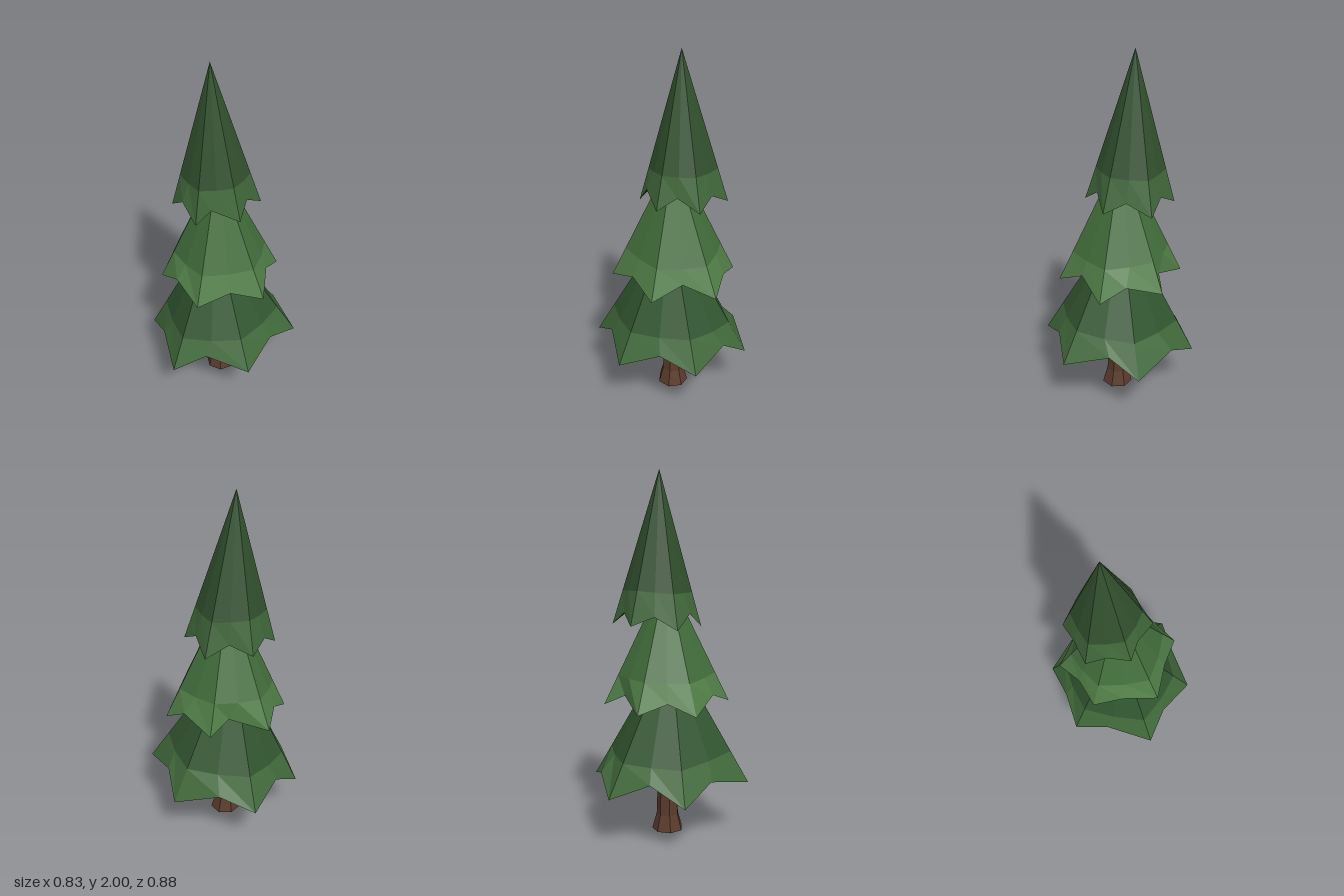
import * as THREE from 'three';

// Each tier is a notched six-sided cone: crown apex, underside centre height,
// and a rim of alternating branch tips and notches [x, y, z].
const TIERS = [
  {
    name: 'lowerTier', crown: 0x31552f, skirt: 0x40683a,
    apex: [-0.035, 1.07, 0], underY: 0.55,
    rim: [
      [0.10, 0.29, -0.44], [0.21, 0.40, -0.31], [0.415, 0.335, -0.16], [0.345, 0.41, 0.04],
      [0.315, 0.32, 0.27], [0.08, 0.40, 0.335], [-0.08, 0.305, 0.435], [-0.26, 0.36, 0.23],
      [-0.415, 0.26, 0.095], [-0.365, 0.37, -0.09], [-0.34, 0.28, -0.31], [-0.15, 0.37, -0.375],
    ],
  },
  {
    name: 'middleTier', crown: 0x426d3b, skirt: 0x4f7c46,
    apex: [-0.025, 1.46, -0.02], underY: 0.94,
    rim: [
      [-0.09, 0.74, -0.36], [0.10, 0.80, -0.30], [0.24, 0.72, -0.26], [0.25, 0.81, -0.08],
      [0.31, 0.73, 0.085], [0.16, 0.80, 0.195], [0.025, 0.745, 0.325], [-0.15, 0.81, 0.235],
      [-0.30, 0.72, 0.15], [-0.30, 0.79, 0], [-0.34, 0.735, -0.155], [-0.14, 0.80, -0.24],
    ],
  },
  {
    name: 'topTier', crown: 0x31502d, skirt: 0x40673a,
    apex: [-0.085, 2, -0.055], underY: 1.42,
    rim: [
      [-0.04, 1.18, -0.315], [0.06, 1.25, -0.225], [0.165, 1.19, -0.165], [0.135, 1.265, -0.045],
      [0.15, 1.195, 0.065], [0.01, 1.26, 0.125], [-0.06, 1.17, 0.17], [-0.17, 1.25, 0.11],
      [-0.27, 1.17, 0.05], [-0.26, 1.24, -0.07], [-0.255, 1.19, -0.195], [-0.14, 1.25, -0.24],
    ],
  },
];
const UNDERSIDE = 0x223a22;
const FOLD = 0.775; // how far down the ridges the crown turns into the skirt
const BULGE = 1.05; // how far the fold swells out between two ridges

const lerp = (a, b, t) => a.map((v, i) => v + (b[i] - v) * t);

function facetMesh(name, points, color) {
  const geometry = new THREE.BufferGeometry();
  geometry.setAttribute('position', new THREE.Float32BufferAttribute(points.flat(), 3));
  geometry.computeVertexNormals();
  const mesh = new THREE.Mesh(geometry, new THREE.MeshStandardMaterial({ color, flatShading: true }));
  mesh.name = name;
  return mesh;
}

function makeTier({ name, crown, skirt, apex, underY, rim }) {
  const n = rim.length;
  // fold points sit on the apex-to-tip ridges, and midway between them above each notch
  const ring = rim.map((p, i) => {
    if (i % 2 === 0) return lerp(apex, p, FOLD);
    const [x, y, z] = lerp(apex, lerp(rim[i - 1], rim[(i + 1) % n], 0.5), FOLD);
    return [apex[0] + (x - apex[0]) * BULGE, y, apex[2] + (z - apex[2]) * BULGE];
  });
  const centre = [apex[0], underY, apex[2]];
  const crownTris = [], skirtTris = [], underTris = [];
  rim.forEach((p, i) => {
    const j = (i + 1) % n;
    crownTris.push(apex, ring[j], ring[i]);
    skirtTris.push(ring[i], ring[j], p, ring[j], rim[j], p);
    underTris.push(centre, p, rim[j]);
  });
  const tier = new THREE.Group();
  tier.name = name;
  tier.add(
    facetMesh('crown', crownTris, crown),
    facetMesh('skirt', skirtTris, skirt),
    facetMesh('underside', underTris, UNDERSIDE),
  );
  return tier;
}

// Seven-sided trunk with a flared foot, leaning slightly
function makeTrunk() {
  const sides = 7;
  const sections = [[-0.005, 0, -0.015, 0.088], [-0.008, 0.09, -0.015, 0.063], [-0.015, 0.6, -0.015, 0.045]];
  const rings = sections.map(([x, y, z, r]) => Array.from({ length: sides }, (_, i) => {
    const a = ((i + 0.25) / sides) * Math.PI * 2;
    return [x + r * Math.cos(a), y, z + r * Math.sin(a)];
  }));
  const tris = [];
  for (let i = 0; i < sides; i++) {
    const j = (i + 1) % sides;
    for (let k = 0; k < rings.length - 1; k++) {
      const lo = rings[k], hi = rings[k + 1];
      tris.push(hi[i], hi[j], lo[i], hi[j], lo[j], lo[i]);
    }
    tris.push(sections[0].slice(0, 3), rings[0][i], rings[0][j]);
  }
  return facetMesh('trunk', tris, 0x5a3b2c);
}

export function createModel() {
  const tree = new THREE.Group();
  tree.name = 'pineTree';
  tree.add(makeTrunk(), ...TIERS.map(makeTier));
  return tree;
}
